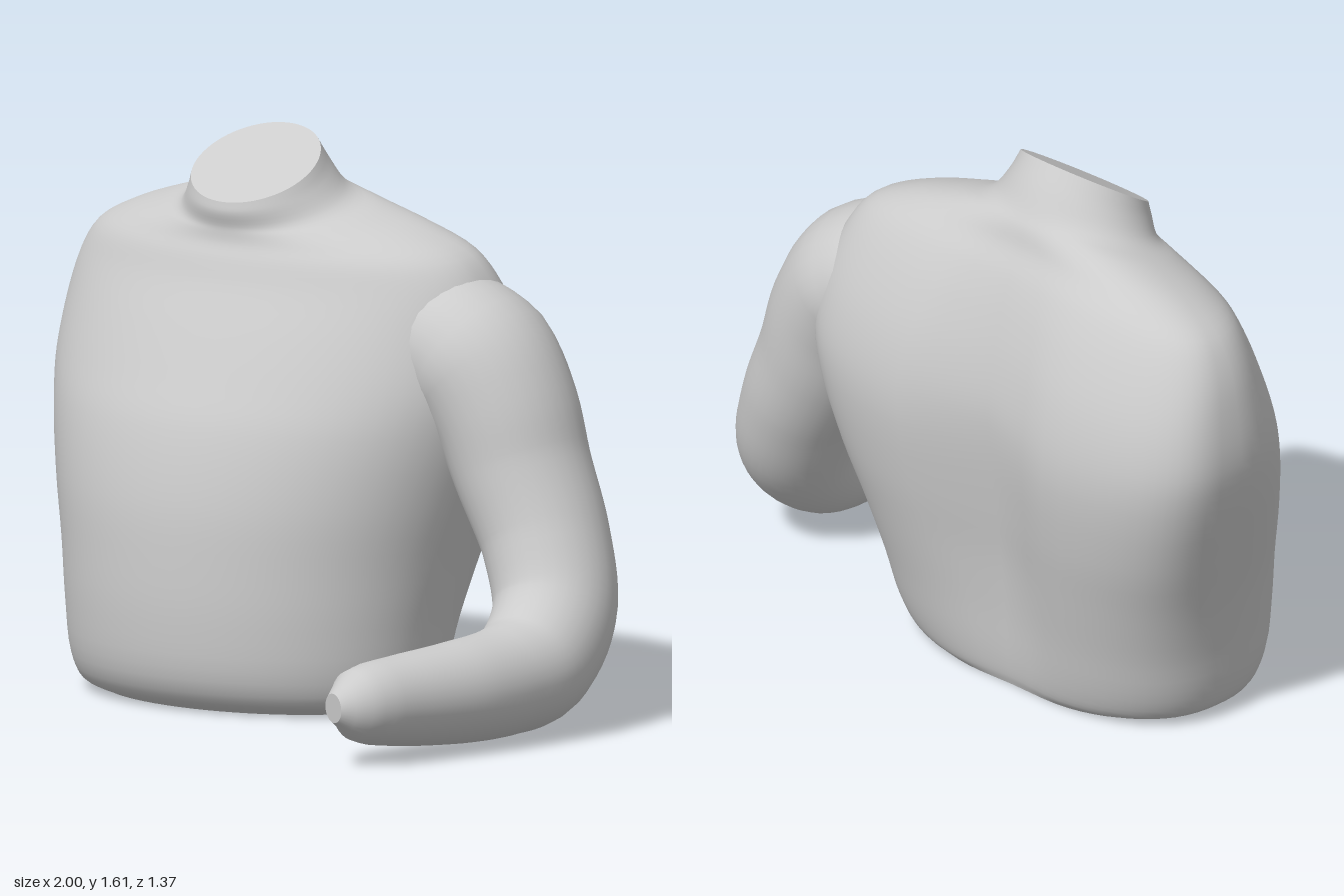
import * as THREE from 'three';

const material = new THREE.MeshStandardMaterial({ color: 0xcccccc });

// Skin a list of closed rings (counter-clockwise about the loft direction) and cap both ends.
function loft(rings, name) {
  const n = rings[0].length, pos = [], idx = [];
  const push = (p) => pos.push(p.x, p.y, p.z);
  rings.forEach((ring) => ring.forEach(push));
  for (let i = 0; i < rings.length - 1; i++) {
    for (let j = 0; j < n; j++) {
      const a = i * n + j, b = i * n + (j + 1) % n;
      idx.push(a, b, a + n, b, b + n, a + n);
    }
  }
  // caps have their own vertices so their rims stay sharp
  [rings[0], rings[rings.length - 1]].forEach((ring, end) => {
    const c = pos.length / 3;
    const centre = new THREE.Vector3();
    ring.forEach((p) => centre.addScaledVector(p, 1 / n));
    push(centre);
    ring.forEach(push);
    for (let j = 0; j < n; j++) {
      const a = c + 1 + j, b = c + 1 + (j + 1) % n;
      if (end) idx.push(c, a, b);
      else idx.push(c, b, a);
    }
  });
  const geo = new THREE.BufferGeometry();
  geo.setAttribute('position', new THREE.Float32BufferAttribute(pos, 3));
  geo.setIndex(idx);
  geo.computeVertexNormals();
  const mesh = new THREE.Mesh(geo, material);
  mesh.name = name;
  return mesh;
}

// Torso and neck: tilted sections
// [front y, back y, half width, front z, back z, widest z, back squareness, spine groove]
const TORSO = [
  [0.00, 0.00, 0.48, 0.14, -0.52, -0.20, 0.85, 0.02],
  [0.03, 0.03, 0.545, 0.20, -0.54, -0.20, 0.8, 0.03],
  [0.10, 0.10, 0.575, 0.24, -0.56, -0.21, 0.75, 0.04],
  [0.25, 0.25, 0.60, 0.257, -0.59, -0.23, 0.7, 0.06],
  [0.42, 0.42, 0.635, 0.255, -0.625, -0.27, 0.65, 0.08],
  [0.60, 0.60, 0.685, 0.24, -0.66, -0.31, 0.6, 0.09],
  [0.80, 0.80, 0.74, 0.19, -0.685, -0.35, 0.6, 0.09],
  [0.93, 0.93, 0.76, 0.13, -0.68, -0.36, 0.6, 0.08],
  [1.07, 1.07, 0.747, 0.06, -0.65, -0.36, 0.62, 0.07],
  [1.19, 1.21, 0.71, -0.005, -0.595, -0.35, 0.67, 0.05],
  [1.26, 1.31, 0.65, -0.035, -0.54, -0.34, 0.72, 0.03],
  [1.30, 1.38, 0.53, -0.055, -0.49, -0.31, 0.8, 0.015],
  [1.33, 1.44, 0.37, -0.06, -0.455, -0.27, 0.9, 0],
  [1.35, 1.48, 0.27, -0.06, -0.43, -0.24, 1, 0],
  [1.39, 1.55, 0.225, -0.05, -0.39, -0.215, 1, 0],
  [1.42, 1.61, 0.205, -0.055, -0.35, -0.20, 1, 0],
];

function torsoSection([yf, yb, hw, zf, zb, zc, power, groove], t) {
  const s = Math.sin(t), c = Math.cos(t), front = c >= 0;
  const e = front ? 1 : power;
  const x = hw * Math.sign(s) * Math.abs(s) ** e;
  let z = front ? zc + (zf - zc) * c : zc - (zc - zb) * Math.abs(c) ** e;
  const y = THREE.MathUtils.mapLinear(z, zf, zb, yf, yb);
  if (!front) z += groove * Math.exp(-((x / 0.17) ** 2)) * Math.abs(c);
  return new THREE.Vector3(x - 0.24, y, z);
}

function makeTorso() {
  const sides = 64, steps = 60;
  const rings = Array.from({ length: steps + 1 }, () => []);
  for (let j = 0; j < sides; j++) {
    const t = (j / sides) * Math.PI * 2;
    const column = new THREE.CatmullRomCurve3(TORSO.map((row) => torsoSection(row, t)));
    rings.forEach((ring, i) => ring.push(column.getPoint(i / steps)));
  }
  return loft(rings, 'torso');
}

// Bent left arm: [x, y, z, radius] from inside the shoulder to the wrist stump
const ARM = [
  [0.22, 1.04, -0.35, 0.17],
  [0.36, 1.04, -0.35, 0.21],
  [0.46, 0.99, -0.352, 0.218],
  [0.545, 0.87, -0.355, 0.205],
  [0.61, 0.71, -0.355, 0.192],
  [0.71, 0.51, -0.34, 0.178],
  [0.79, 0.33, -0.28, 0.172],
  [0.832, 0.20, -0.13, 0.168],
  [0.842, 0.17, 0.02, 0.155],
  [0.84, 0.164, 0.20, 0.147],
  [0.82, 0.165, 0.40, 0.133],
  [0.805, 0.17, 0.56, 0.117],
  [0.795, 0.172, 0.63, 0.098],
  [0.778, 0.17, 0.685, 0.042],
];

function makeArm() {
  const steps = 64, sides = 32;
  const path = new THREE.CatmullRomCurve3(ARM.map(([x, y, z]) => new THREE.Vector3(x, y, z)));
  const { normals, binormals } = path.computeFrenetFrames(steps);
  const rings = [];
  for (let i = 0; i <= steps; i++) {
    const u = i / steps, f = path.getUtoTmapping(u) * (ARM.length - 1);
    const k = Math.min(Math.floor(f), ARM.length - 2);
    const r = THREE.MathUtils.lerp(ARM[k][3], ARM[k + 1][3], f - k);
    const centre = path.getPointAt(u), ring = [];
    for (let j = 0; j < sides; j++) {
      const a = (j / sides) * Math.PI * 2;
      const offset = normals[i].clone().multiplyScalar(r * Math.cos(a))
        .addScaledVector(binormals[i], r * Math.sin(a));
      offset.z *= 1.07; // upper arm is slightly deeper than wide
      ring.push(offset.add(centre));
    }
    rings.push(ring);
  }
  return loft(rings, 'leftArm');
}

export function createModel() {
  const group = new THREE.Group();
  group.name = 'bust';
  group.add(makeTorso(), makeArm());
  return group;
}
